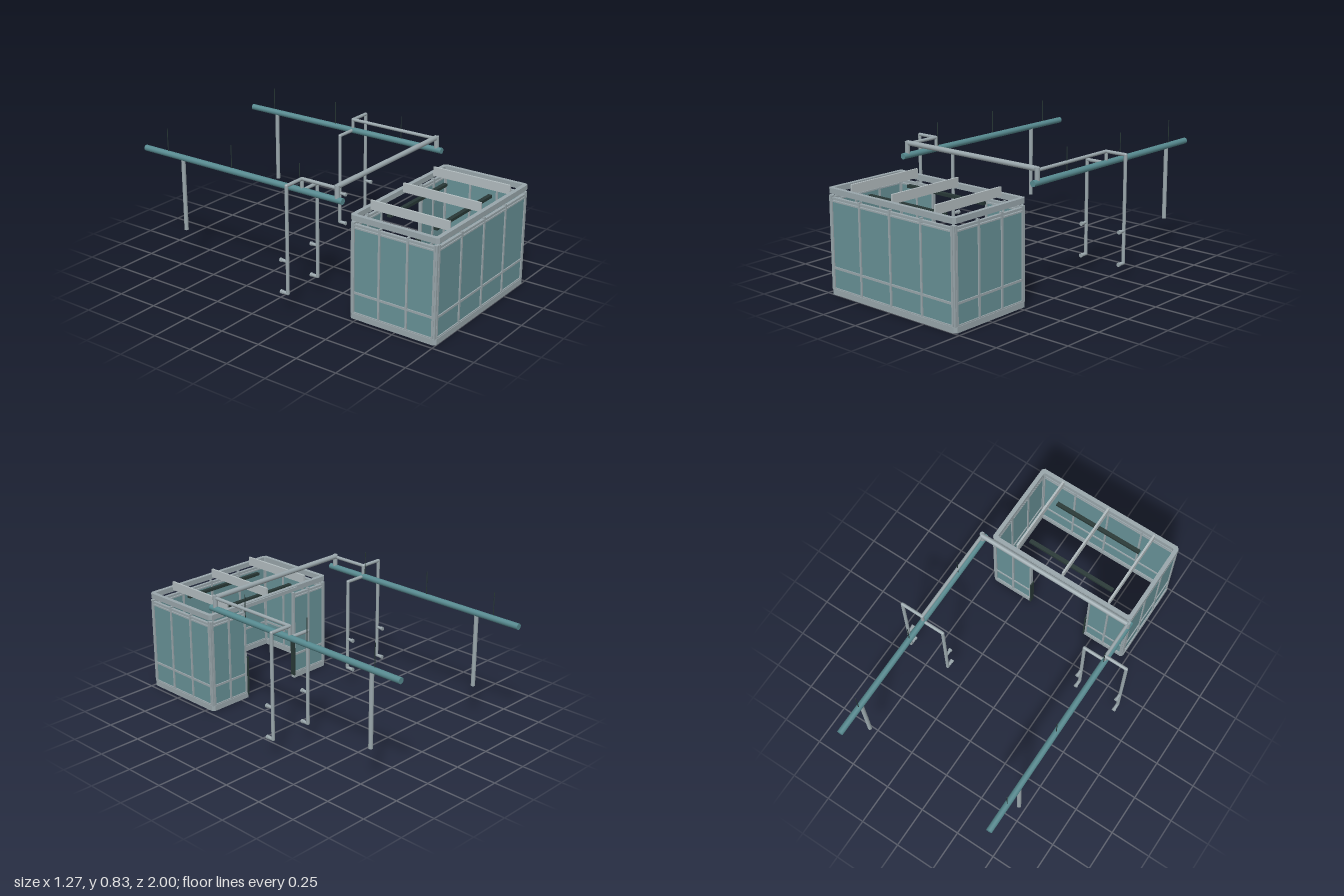
import * as THREE from 'three';

const mat = (name, color) => new THREE.MeshStandardMaterial({ name, color });

export function createModel() {
  const frame = mat('grey frame', 0x99a6ab);
  const pale = mat('pale fin', 0xb2bcbf);
  const glass = mat('teal panel', 0x679196);
  const teal = mat('teal duct', 0x56898f);
  const dark = mat('dark fitting', 0x283836);
  const model = new THREE.Group();
  model.name = 'boothWithPipework';

  const box = (parent, name, m, x0, x1, y0, y1, z0, z1) => {
    const mesh = new THREE.Mesh(new THREE.BoxGeometry(x1 - x0, y1 - y0, z1 - z0), m);
    mesh.position.set((x0 + x1) / 2, (y0 + y1) / 2, (z0 + z1) / 2);
    mesh.name = name;
    parent.add(mesh);
  };

  // Straight round pipe between two points
  const pipe = (parent, name, m, a, b, r, sides = 16) => {
    const p = new THREE.Vector3(...a), q = new THREE.Vector3(...b);
    const d = q.clone().sub(p);
    const mesh = new THREE.Mesh(new THREE.CylinderGeometry(r, r, d.length(), sides), m);
    mesh.position.copy(p).add(q).multiplyScalar(0.5);
    mesh.quaternion.setFromUnitVectors(new THREE.Vector3(0, 1, 0), d.normalize());
    mesh.name = name;
    parent.add(mesh);
  };

  // Ball joint rounding off a pipe bend
  const elbow = (parent, p, r) => {
    const mesh = new THREE.Mesh(new THREE.SphereGeometry(r, 14, 10), frame);
    mesh.position.set(...p);
    mesh.name = 'elbow';
    parent.add(mesh);
  };

  // Run of pipe through several points
  const run = (parent, name, m, pts, r) => {
    for (let i = 1; i < pts.length; i++) {
      pipe(parent, name, m, pts[i - 1], pts[i], r);
      if (i < pts.length - 1) elbow(parent, pts[i], r);
    }
  };

  // ---- Booth ----
  const booth = new THREE.Group();
  booth.name = 'booth';
  model.add(booth);
  const W = 0.473, ZB = 0.453, ZF = 1.0, ZC = (ZB + ZF) / 2, D = (ZF - ZB) / 2;

  // Flat frame section raised into a rail
  const rail = (name, shape, y, height) => {
    const mesh = new THREE.Mesh(new THREE.ExtrudeGeometry(shape, { depth: height, bevelEnabled: false }), frame);
    mesh.rotation.x = -Math.PI / 2;
    mesh.position.set(0, y, ZC);
    mesh.name = name;
    booth.add(mesh);
  };

  // Top ring with cut corners
  const chamfered = (path, w, d, c) => path.setFromPoints(
    [[-w + c, -d], [w - c, -d], [w, -d + c], [w, d - c], [w - c, d], [-w + c, d], [-w, d - c], [-w, -d + c]]
      .map(([x, y]) => new THREE.Vector2(x, y)));
  const ring = chamfered(new THREE.Shape(), W, D, 0.014);
  ring.holes.push(chamfered(new THREE.Path(), W - 0.025, D - 0.025, 0.008));
  rail('topRing', ring, 0.576, 0.031);

  // Base rail, open at the doorway
  const t = 0.025, door = 0.195;
  const base = new THREE.Shape([
    [-door, D], [-W + 0.014, D], [-W, D - 0.014], [-W, -D + 0.014], [-W + 0.014, -D],
    [W - 0.014, -D], [W, -D + 0.014], [W, D - 0.014], [W - 0.014, D], [door, D],
    [door, D - t], [W - t, D - t], [W - t, -D + t], [-W + t, -D + t], [-W + t, D - t], [-door, D - t],
  ].map(([x, y]) => new THREE.Vector2(x, y)));
  rail('baseRail', base, 0, 0.033);

  // Panelled wall: panels between posts, with rails across
  const wall = (name, posts, x, z, turn) => {
    const g = new THREE.Group();
    g.name = name;
    const a = posts[0], b = posts[posts.length - 1];
    for (const p of posts) box(g, 'mullion', frame, p - 0.006, p + 0.006, 0.03, 0.565, -0.01, 0.01);
    for (const [y0, y1] of [[0.03, 0.04], [0.149, 0.162], [0.53, 0.538], [0.543, 0.556]])
      box(g, 'rail', frame, a, b, y0, y1, -0.009, 0.009);
    for (let i = 1; i < posts.length; i++)
      box(g, 'panel', glass, posts[i - 1] + 0.006, posts[i] - 0.006, 0.035, 0.535, -0.003, 0.003);
    g.position.set(x, 0, z);
    g.rotation.y = turn;
    booth.add(g);
  };
  wall('frontWall', [-0.45, -0.23, 0, 0.23, 0.45], 0, ZF - 0.012, 0);
  for (const s of [-1, 1]) {
    wall('sideWall', [-0.252, -0.0875, 0.0875, 0.252], s * (W - 0.012), ZC, Math.PI / 2);
    wall('backWall', [-0.125, 0, 0.125], s * 0.328, ZB + 0.012, 0);
    for (const z of [ZB + 0.011, ZF - 0.011])
      box(booth, 'cornerPost', frame, s * 0.463 - 0.006, s * 0.463 + 0.006, 0.03, 0.565, z - 0.006, z + 0.006);
    // Dark plate lining the doorway edge
    box(booth, 'doorStrip', dark, s * 0.194 - 0.004, s * 0.194 + 0.004, 0.02, 0.27, 0.446, 0.478);
  }
  box(booth, 'doorTrack', frame, -0.22, 0.22, 0.58, 0.602, 0.444, 0.456);

  // Roof fins and lamps
  for (const x of [-0.313, 0, 0.313]) box(booth, 'roofFin', pale, x - 0.006, x + 0.006, 0.59, 0.643, 0.478, 0.972);
  for (const z of [0.575, 0.865]) box(booth, 'lamp', dark, -0.285, 0.285, 0.556, 0.573, z - 0.012, z + 0.012);

  // ---- Pipework ----
  const pipes = new THREE.Group();
  pipes.name = 'pipework';
  model.add(pipes);
  const X = 0.488, Y = 0.675, TOP = 0.748;
  pipe(pipes, 'crossHeader', frame, [-X, TOP, 0.378], [X, TOP, 0.378], 0.015);

  for (const s of [-1, 1]) {
    const side = new THREE.Group();
    side.name = s > 0 ? 'leftPipes' : 'rightPipes';
    pipes.add(side);
    const x = s * X;
    pipe(side, 'mainDuct', teal, [x, Y, -1], [x, Y, 0.42], 0.018, 20);
    for (const z of [0.135, -0.345, -0.825]) pipe(side, 'hangerRod', dark, [x, Y, z], [x, 0.828, z], 0.0025, 8);
    const zp = s > 0 ? -0.805 : -0.71;
    pipe(side, 'downPipe', frame, [x, Y, zp], [x, 0.228, zp], 0.0125);
    pipe(side, 'riser', frame, [x, Y, 0.383], [x, 0.758, 0.383], 0.0145);

    // Two drops with short outlets, turned opposite ways on the two sides
    const z = s > 0 ? -0.214 : 0.15;
    const out = z + s * 0.048;
    const outer = s * 0.622, inner = s * 0.354, r = 0.01;
    run(side, 'outerDrop', frame, [[x, 0.742, 0.378], [x, 0.742, z], [outer, 0.742, z], [outer, 0.115, z], [outer, 0.115, out]], r);
    run(side, 'innerDrop', frame, [[x, Y, z], [inner, Y, z], [inner, 0.115, z], [inner, 0.115, out]], r);
    pipe(side, 'link', frame, [x, 0.742, z], [x, Y, z], r);
    for (const d of [outer, inner]) {
      pipe(side, 'outlet', frame, [d, 0.305, z], [d, 0.305, out], 0.009);
      for (const y of [0.115, 0.305]) pipe(side, 'outletCap', frame, [d, y, out - s * 0.012], [d, y, out], 0.012);
    }
  }
  return model;
}
